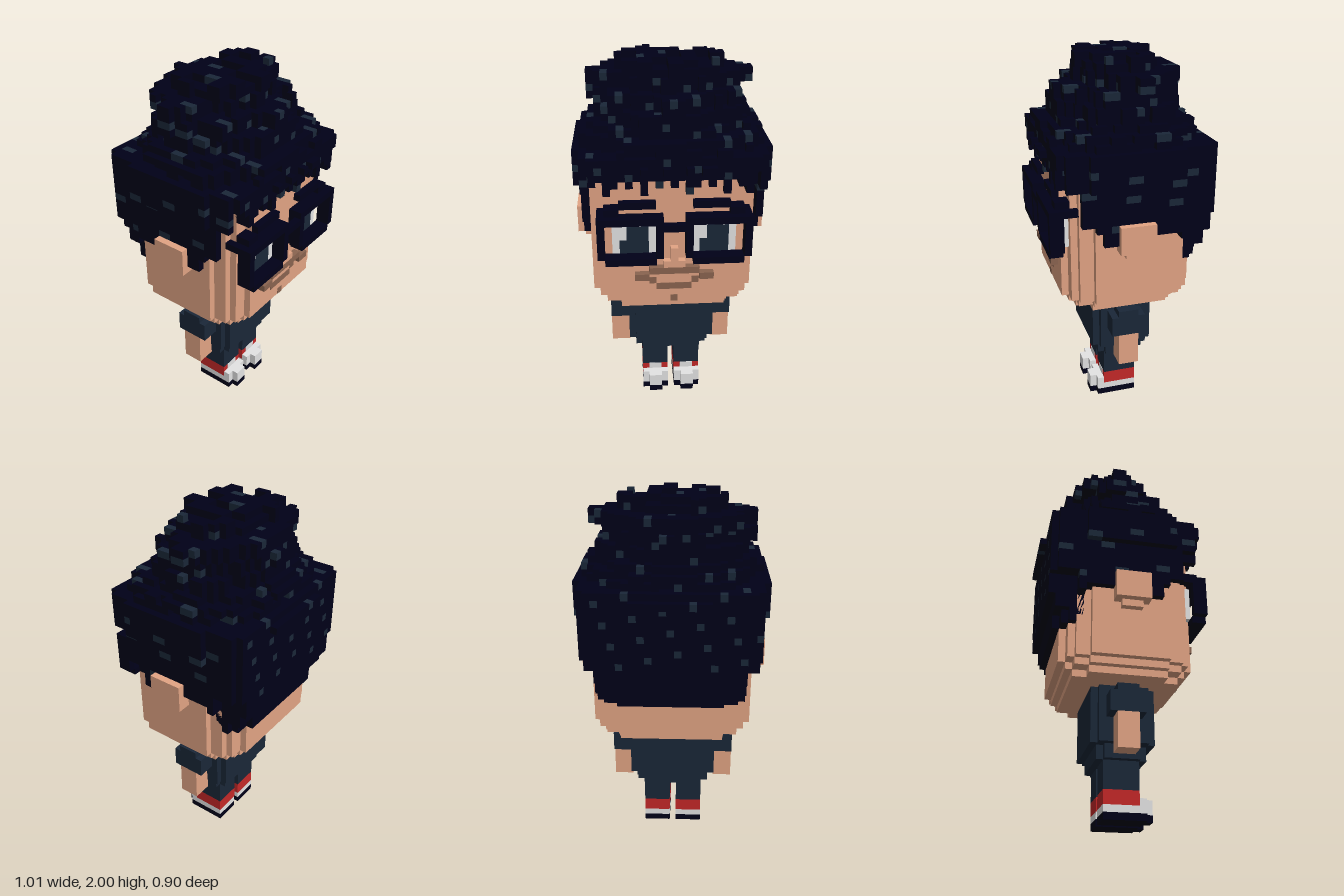
import * as THREE from 'three';

const CELL = 2 / 53.5;

const mat = (name, color) => {
  const m = new THREE.MeshStandardMaterial({ color });
  m.name = name;
  return m;
};

// repeatable pseudo-random value in 0..1 for a cell
function hash(x, y, z) {
  let h = Math.imul(x + 57, 374761393) ^ Math.imul(y + 91, 668265263) ^ Math.imul(z + 33, 2147478091);
  h = Math.imul(h ^ (h >>> 13), 1274126177);
  h = Math.imul(h ^ (h >>> 16), 2246822519);
  return ((h ^ (h >>> 15)) >>> 0) / 4294967296;
}

// hair tiers from the top: lower y, half width, back z, front z, roundness
const TIERS = [
  [52, 7.5, -6, 6, 1.7], [50, 11.5, -9, 6, 1.25], [48, 11.5, -9, 9, 1.25], [46, 10.5, -8, 9, 1.9],
  [45, 11.5, -9, 9, 2.2], [43, 12.5, -10, 11, 2.5], [38, 13.5, -11, 11], [26, 12.5, -11, 8],
];
// lower edge of the fringe, one value per column
const FRINGE = [38, 38, 41, 40, 38, 39, 40, 39, 40, 38, 40, 39, 40, 39, 40, 38, 39, 40, 39, 40, 38, 40, 39, 38, 41, 38, 38];

function isHair(x, y, z) {
  if (y < 26 || y > 53) return false;
  const zc = z + 0.5, ax = Math.abs(x), depth = Math.abs(zc);
  // thin ridge at front and back
  if (y === 41 && ax <= 5 && depth === 11.5) return zc < 0 || hash(x, y, z) > 0.5;
  const [, hx, z0, z1, p] = TIERS.find((t) => y >= t[0]);
  if (ax > hx || zc < z0 || zc > z1) return false;
  if (y >= 43) { // curly dome
    const u = ax / hx, w = Math.abs(zc - (z0 + z1) / 2) / ((z1 - z0) / 2);
    const curl = hash(x >> 1, y >> 1, z >> 1);
    if (y === 53 && curl < 0.45) return false;
    return u ** p + w ** p < 0.78 + 0.42 * curl;
  }
  if (2 * ax + depth > 33.5 || (ax > 12.5 && (zc < -6 || zc > 7))) return false;
  if (y >= 38) return y >= 41 || zc < 8 || y >= FRINGE[x + 13];
  // sides and nape, following the rounded back of the head
  if (zc > -5 && ax < 11.5) return false;
  if (y < 33 && zc < -7 && ax > 10.5) return false;
  if (y < 30 && (zc < -10 || ax > 10.5)) return false;
  if (y < 28 && ax > (zc < -9 ? 7.5 : zc < -8 ? 9.5 : 10.5)) return false;
  const edge = zc > 6 ? 33 : zc > 5 ? 32 : zc > 3 ? 30 : zc > -2 ? 33 : zc > -6 ? 31 : zc > -7 ? 27 : 26;
  return y >= edge;
}

// visible faces of the hair cells, in two colours
function hairGeometry() {
  const sets = [[], []];
  for (let x = -13; x <= 13; x++) for (let y = 26; y < 54; y++) for (let z = -12; z < 12; z++) {
    if (!isHair(x, y, z)) continue;
    const light = y > 31 && (5 * x + 7 * y + 2 * (z >> 1)) % 13 === 0 ? 1 : 0;
    for (let a = 0; a < 3; a++) for (const s of [-1, 1]) {
      const n = [x, y, z];
      n[a] += s;
      if (isHair(...n)) continue;
      const order = s > 0 ? [0, 1, 2, 0, 2, 3] : [0, 2, 1, 0, 3, 2];
      for (const i of order) {
        const p = [x - 0.5, y, z];
        if (s > 0) p[a] += 1;
        if (i === 1 || i === 2) p[(a + 1) % 3] += 1;
        if (i > 1) p[(a + 2) % 3] += 1;
        sets[light].push(...p);
      }
    }
  }
  const g = new THREE.BufferGeometry();
  g.setAttribute('position', new THREE.Float32BufferAttribute([...sets[0], ...sets[1]], 3));
  g.addGroup(0, sets[0].length / 3, 0);
  g.addGroup(sets[0].length / 3, sets[1].length / 3, 1);
  g.computeVertexNormals();
  return g;
}

export function createModel() {
  const skin = mat('skin', 0xe2a484);
  const dark = mat('hair and frames', 0x000018);
  const cloth = mat('cloth', 0x1a2738);
  const white = mat('white', 0xe4e4e4);
  const red = mat('red', 0xc42828);
  const beard = mat('beard', 0x8a6450);

  const model = new THREE.Group();
  model.name = 'blockFigure';

  // both groups are built in cells; the head sits half a cell lower
  const makeGroup = (name, y) => {
    const g = new THREE.Group();
    g.name = name;
    g.scale.setScalar(CELL);
    g.position.y = y * CELL;
    model.add(g);
    return g;
  };
  const head = makeGroup('headGroup', -0.5);
  const body = makeGroup('bodyGroup', 0);
  let target = head;

  const box = (name, m, x0, x1, y0, y1, z0, z1) => {
    const mesh = new THREE.Mesh(new THREE.BoxGeometry(x1 - x0, y1 - y0, z1 - z0), m);
    mesh.position.set((x0 + x1) / 2, (y0 + y1) / 2, (z0 + z1) / 2);
    mesh.name = name;
    target.add(mesh);
  };
  const mid = (name, m, hx, ...r) => box(name, m, -hx, hx, ...r);
  const pair = (name, m, x0, x1, ...r) => {
    box(name + 'Left', m, x0, x1, ...r);
    box(name + 'Right', m, -x1, -x0, ...r);
  };

  // head with stepped corners and chin
  mid('head', skin, 11.5, 21, 41, -5, 6);
  mid('head', skin, 10.5, 21, 41, -7, 8);
  mid('head', skin, 9.5, 21, 41, -8, 9);
  mid('head', skin, 7.5, 21, 41, -9, 10);
  mid('jaw', skin, 10.5, 20, 21, -5, 6);
  mid('jaw', skin, 9.5, 20, 21, -7, 8);
  mid('jaw', skin, 7.5, 20, 21, -8, 9);
  mid('jawBase', skin, 9.5, 19, 20, -5, 6);
  mid('jawBase', skin, 7.5, 19, 20, -7, 8);
  pair('ear', skin, 11.5, 13.5, 29, 33, -2, 3);
  pair('earLobe', skin, 11.5, 12.5, 28, 29, -1, 2);
  mid('nose', skin, 1.5, 27, 28, 10, 11);
  mid('noseBridge', skin, 0.5, 28, 30, 10, 11);

  // hair
  const hair = new THREE.Mesh(hairGeometry(), [dark, cloth]);
  hair.name = 'hair';
  head.add(hair);

  // eyes, with the glint on the same side in both
  pair('eye', white, 2.5, 8.5, 29, 34, 9, 10.04);
  for (const x of [-7.5, 3.5]) {
    box('pupil', cloth, x + 1, x + 4, 29, 33, 10, 10.1);
    box('pupilEdge', cloth, x, x + 1, 29, 31, 10, 10.1);
  }
  pair('brow', dark, 2.5, 7.5, 36, 37, 10, 11);
  pair('browEnd', dark, 7.5, 9.5, 35, 36, 9, 11);

  // glasses
  pair('frameTop', dark, 1.5, 10.5, 34, 35, 10, 12);
  pair('frameInner', dark, 1.5, 2.5, 29, 34, 10, 12);
  pair('frameOuter', dark, 9.5, 10.5, 29, 34, 10, 12);
  pair('frameBottom', dark, 2.5, 9.5, 28, 29, 10, 12);
  mid('frameBridge', dark, 1.5, 33, 34, 11, 12);
  pair('temple', dark, 9.5, 10.5, 34, 35, 8, 10);

  // moustache and beard
  mid('moustache', beard, 3.5, 26, 27, 10, 11);
  pair('moustacheEnd', beard, 3.5, 5.5, 25, 26, 10, 11);
  pair('beardSide', beard, 2.5, 3.5, 24, 25, 9.95, 10.08);
  mid('beard', beard, 2.5, 23, 24, 9.95, 10.08);
  mid('chinTuft', beard, 0.5, 21, 22, 9.95, 10.08);

  // torso and neck
  target = body;
  mid('neck', skin, 3.5, 17, 18.6, -2, 3);
  mid('neckline', skin, 2.5, 17, 18.04, 3, 5.06);
  mid('shirt', cloth, 6.5, 10, 18, -3, 4);
  mid('shirt', cloth, 5.5, 10, 18, -4, 5);
  mid('shirtHem', cloth, 5.5, 8, 10, -2, 3);
  mid('shirtHem', cloth, 4.5, 8, 10, -3, 4);

  // arms
  pair('sleeve', cloth, 6.5, 9.25, 13.4, 16.4, -2, 3);
  pair('sleeveTop', cloth, 6.5, 9.25, 16.4, 17.4, -1, 2);
  pair('arm', skin, 6.4, 9.25, 8.4, 13.4, -1, 2);

  // legs and shoes
  pair('leg', cloth, 0.5, 4.5, 4, 8, -2, 3);
  pair('sole', dark, 0.5, 4.5, 0, 1, -2, 4);
  pair('soleTip', dark, 1.5, 3.5, 0, 1, 4, 5);
  pair('shoeBand', white, 0.5, 4.5, 1, 2, -2, 4);
  pair('toe', white, 0.5, 4.5, 2, 3, 3, 4);
  pair('toeTip', white, 1.5, 3.5, 1, 3, 4, 5);
  pair('shoeUpper', red, 0.5, 4.5, 2, 4, -2, 3);
  pair('tongue', white, 1.5, 3.5, 3, 4, 2.9, 3.06);

  return model;
}
